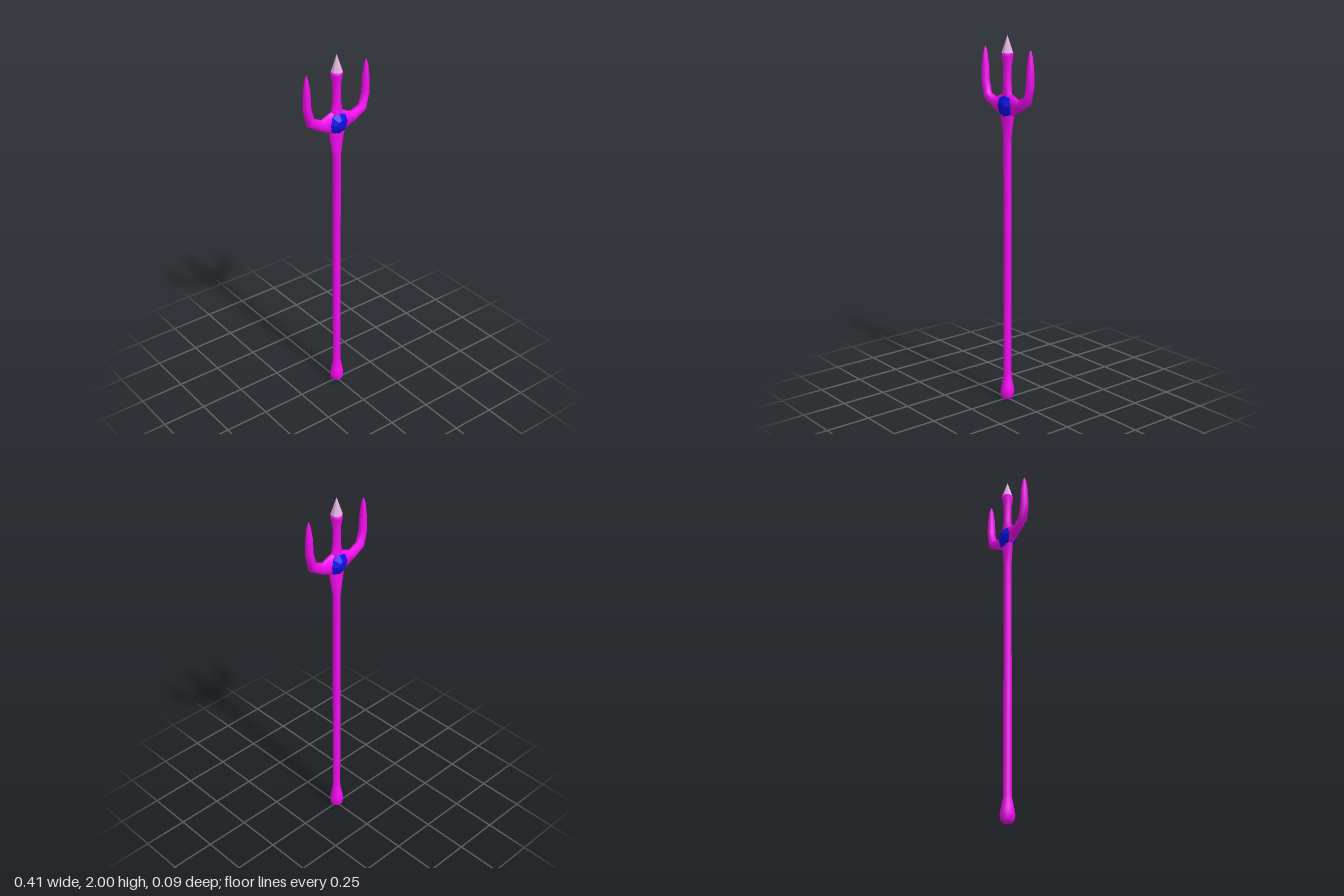
import * as THREE from 'three';

const SIDES = 8;
const magenta = new THREE.MeshStandardMaterial({ color: 0xf50af0 });
const blue = new THREE.MeshStandardMaterial({ color: 0x0a10e6, flatShading: true });
const pale = new THREE.MeshStandardMaterial({ color: 0xe0b0dc, flatShading: true });

// Eight-sided skin through sections [x1, y1, x2, y2, halfDepth]:
// the two points are opposite edges of a section, seen from the front.
function loft(sections) {
  const pos = [], index = [];
  const k = 1 / Math.cos(Math.PI / SIDES);
  for (const [x1, y1, x2, y2, d] of sections) {
    for (let i = 0; i < SIDES; i++) {
      const a = ((i + 0.5) / SIDES) * Math.PI * 2;
      const c = Math.cos(a) * k / 2, s = Math.sin(a) * k;
      pos.push((x1 + x2) / 2 + (x2 - x1) * c, (y1 + y2) / 2 + (y2 - y1) * c, d * s);
    }
  }
  const last = sections.length - 1;
  for (let r = 0; r < last; r++) {
    for (let i = 0; i < SIDES; i++) {
      const j = (i + 1) % SIDES;
      const a = r * SIDES + i, b = r * SIDES + j;
      index.push(a, a + SIDES, b, b, a + SIDES, b + SIDES);
    }
  }
  // End caps
  for (const r of [0, last]) {
    const [x1, y1, x2, y2] = sections[r];
    const centre = pos.length / 3;
    pos.push((x1 + x2) / 2, (y1 + y2) / 2, 0);
    for (let i = 0; i < SIDES; i++) {
      const a = r * SIDES + i, b = r * SIDES + (i + 1) % SIDES;
      if (r === 0) index.push(centre, a, b);
      else index.push(centre, b, a);
    }
  }
  const g = new THREE.BufferGeometry();
  g.setAttribute('position', new THREE.Float32BufferAttribute(pos, 3));
  g.setIndex(index);
  g.computeVertexNormals();
  return g;
}

export function createModel() {
  const group = new THREE.Group();
  const add = (name, geometry, material) => {
    const mesh = new THREE.Mesh(geometry, material);
    mesh.name = name;
    group.add(mesh);
    return mesh;
  };

  // Shaft with pommel, flared neck and middle prong: [y, halfWidth, halfDepth]
  const shaft = [
    [0, 0.022, 0.022], [0.012, 0.033, 0.033], [0.045, 0.037, 0.037],
    [0.08, 0.031, 0.031], [0.13, 0.022, 0.022], [0.16, 0.021, 0.021],
    [1.44, 0.021, 0.021], [1.46, 0.023, 0.021], [1.57, 0.042, 0.022],
    [1.64, 0.05, 0.022], [1.70, 0.029, 0.022], [1.75, 0.021, 0.021],
    [1.84, 0.021, 0.021], [1.89, 0.029, 0.029], [1.908, 0.03, 0.03],
  ];
  add('shaft', loft(shaft.map(([y, w, d]) => [-w, y, w, y, d])), magenta);

  // Side prongs, curving out and up; the second is the first turned about y
  const prong = [
    [0, 1.70, 0, 1.575, 0.021], [0.034, 1.694, 0.042, 1.583, 0.022],
    [0.092, 1.668, 0.112, 1.615, 0.022], [0.147, 1.692, 0.184, 1.658, 0.022],
    [0.164, 1.755, 0.206, 1.755, 0.022], [0.167, 1.84, 0.203, 1.84, 0.019],
    [0.176, 1.90, 0.197, 1.90, 0.012], [0.184, 1.93, 0.188, 1.93, 0.003],
  ].map(([x1, y1, x2, y2, d]) => [x1, y1, x2, y2, d]);
  const prongGeometry = loft(prong);
  add('leftProng', prongGeometry, magenta);
  add('rightProng', prongGeometry, magenta).rotation.y = Math.PI;

  // Pale spear point
  const tip = new THREE.ConeGeometry(0.032, 0.094, SIDES);
  tip.rotateY(Math.PI / SIDES);
  add('spearPoint', tip, pale).position.y = 1.953;

  // Faceted gem through the head
  const gemProfile = [[0, -0.044], [0.023, -0.044], [0.058, -0.02], [0.058, 0.02], [0.023, 0.044], [0, 0.044]];
  const gem = new THREE.LatheGeometry(gemProfile.map(([r, y]) => new THREE.Vector2(r, y)), SIDES);
  gem.rotateX(Math.PI / 2);
  add('gem', gem, blue).position.y = 1.633;

  return group;
}
